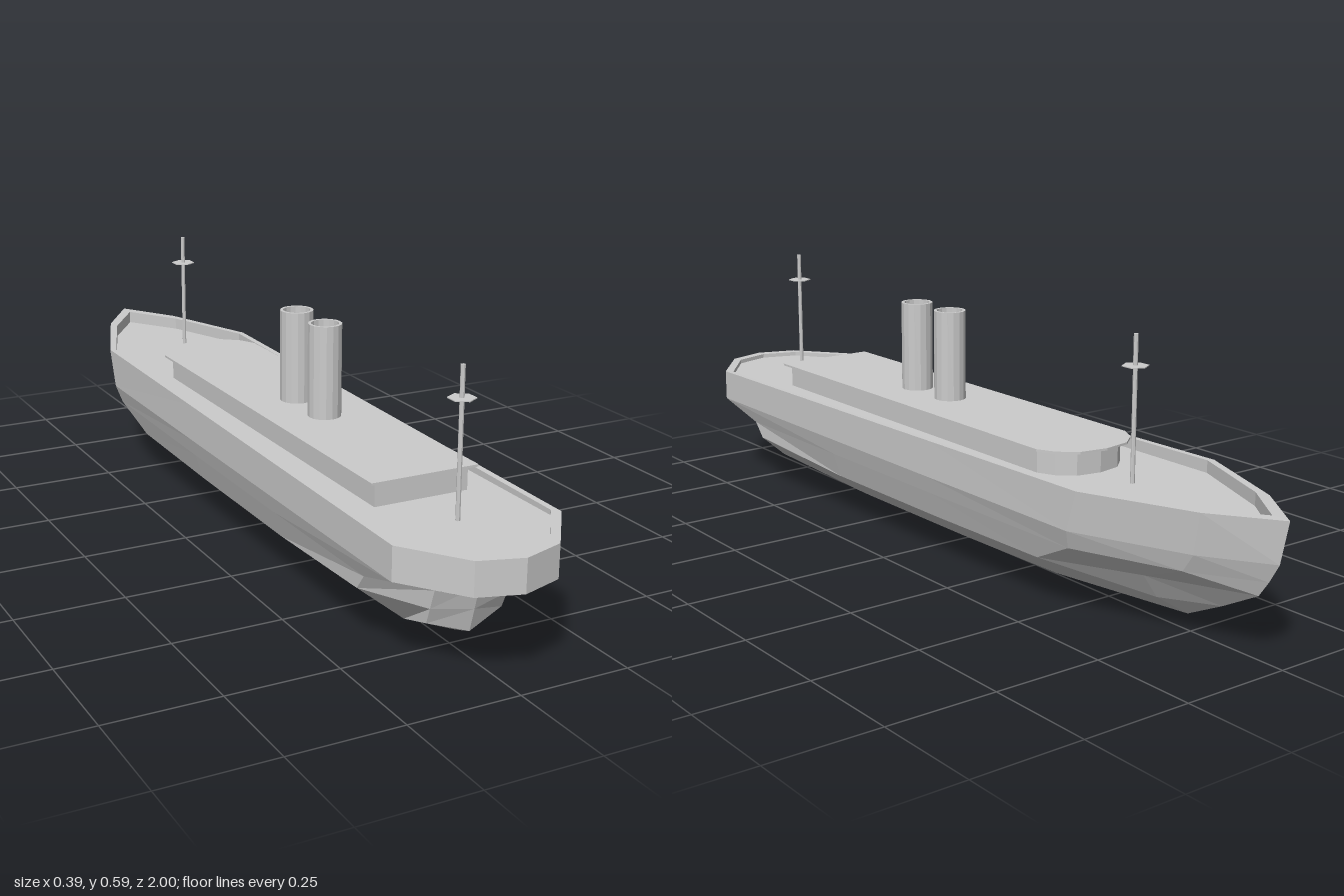
import * as THREE from 'three';

const grey = new THREE.MeshStandardMaterial({ color: 0xcccccc, flatShading: true, side: THREE.DoubleSide });
const DECK = 0.27;

// Hull stations, bow to stern; each runs rim, knuckle, waterline, chine, bilge, keel as [x, y, z].
const STATIONS = [
  [[0, 0.3, -1], [0, 0.207, -0.98], [0, 0.165, -0.955], [0, 0.13, -0.93], [0, 0.08, -0.835], [0, 0.035, -0.74]],
  [[0.095, 0.299, -0.86], [0.09, 0.207, -0.84], [0.088, 0.165, -0.81], [0.088, 0.125, -0.7], [0.05, 0.07, -0.7], [0, 0.031, -0.69]],
  [[0.193, 0.298, -0.61], [0.192, 0.207, -0.58], [0.178, 0.165, -0.57], [0.16, 0.108, -0.45], [0.09, 0.052, -0.43], [0, 0.01, -0.4]],
  [[0.193, 0.292, -0.09], [0.193, 0.207, -0.09], [0.181, 0.165, -0.09], [0.162, 0.105, -0.09], [0.09, 0.047, -0.09], [0, 0, -0.09]],
  [[0.193, 0.287, 0.32], [0.193, 0.207, 0.32], [0.181, 0.165, 0.32], [0.162, 0.105, 0.32], [0.09, 0.047, 0.32], [0, 0.003, 0.32]],
  [[0.193, 0.281, 0.84], [0.193, 0.207, 0.84], [0.178, 0.165, 0.71], [0.176, 0.128, 0.68], [0.09, 0.06, 0.72], [0, 0.035, 0.76]],
  [[0.095, 0.28, 0.97], [0.095, 0.207, 0.97], [0.09, 0.165, 0.83], [0.09, 0.12, 0.815], [0.088, 0.083, 0.8], [0, 0.045, 0.79]],
  [[0, 0.28, 1], [0, 0.207, 1], [0, 0.165, 0.85], [0, 0.11, 0.835], [0, 0.056, 0.82], [0, 0.056, 0.82]],
];

function hullGeometry() {
  // Add the bulwark's inner face and the deck in front of each station
  const columns = STATIONS.map((s) => {
    const [x, y, z] = s[0];
    const inset = (z < 0 ? 0.045 : 0.025) * Math.max(0, (Math.abs(z) - 0.55) / 0.45);
    const ix = x * 0.925, iz = z - Math.sign(z) * inset;
    return [[0, DECK, iz], [ix, DECK, iz], [ix, y, iz], ...s];
  });
  const pos = [];
  const tri = (a, b, c) => {
    const area = new THREE.Triangle(...[a, b, c].map((p) => new THREE.Vector3(...p))).getArea();
    if (area < 1e-8) return;
    pos.push(...a, ...b, ...c);
    for (const p of [a, c, b]) pos.push(-p[0], p[1], p[2]);
  };
  for (let i = 0; i < columns.length - 1; i++) {
    for (let j = 0; j < columns[i].length - 1; j++) {
      const a = columns[i][j], b = columns[i + 1][j], c = columns[i + 1][j + 1], d = columns[i][j + 1];
      tri(a, b, d);
      tri(b, c, d);
    }
  }
  const g = new THREE.BufferGeometry();
  g.setAttribute('position', new THREE.Float32BufferAttribute(pos, 3));
  g.computeVertexNormals();
  return g;
}

// Flat slab with a square stern end and a rounded bow end
function slab(halfWidth, aft, shoulder, fore, y0, y1) {
  const right = [[halfWidth, aft], [halfWidth, shoulder],
    [halfWidth * 0.84, shoulder + (fore - shoulder) * 0.48],
    [halfWidth * 0.52, shoulder + (fore - shoulder) * 0.87], [0, fore]];
  const left = right.slice(0, -1).reverse().map(([x, z]) => [-x, z]);
  const shape = new THREE.Shape([...right, ...left].map(([x, z]) => new THREE.Vector2(x, -z)));
  const g = new THREE.ExtrudeGeometry(shape, { depth: y1 - y0, bevelEnabled: false });
  return g.rotateX(-Math.PI / 2).translate(0, y0, 0);
}

export function createModel() {
  const model = new THREE.Group();
  const add = (name, geometry, parent = model) => {
    const mesh = new THREE.Mesh(geometry, grey);
    mesh.name = name;
    parent.add(mesh);
    return mesh;
  };

  add('hull', hullGeometry());

  // Deckhouse with an overhanging roof
  add('deckhouse', slab(0.11, 0.63, -0.385, -0.465, DECK, 0.323));
  add('deckhouseRoof', slab(0.126, 0.645, -0.4, -0.485, 0.323, 0.328));

  // Open-topped funnels
  const funnelProfile = [[0.038, 0.325], [0.038, 0.54], [0.031, 0.54], [0.031, 0.335], [0, 0.335]]
    .map(([r, y]) => new THREE.Vector2(r, y));
  for (const z of [0.08, 0.215]) {
    add('funnel', new THREE.LatheGeometry(funnelProfile, 16)).position.z = z;
  }

  // Masts with hexagonal lookout platforms
  for (const z of [-0.565, 0.765]) {
    const mast = new THREE.Group();
    mast.name = 'mast';
    mast.position.z = z;
    model.add(mast);
    const height = 0.588 - DECK;
    add('mastPole', new THREE.CylinderGeometry(0.005, 0.005, height, 8).translate(0, DECK + height / 2, 0), mast);
    add('lookoutPlatform', new THREE.CylinderGeometry(0.029, 0.029, 0.002, 6).translate(0, 0.521, 0), mast);
  }
  return model;
}
